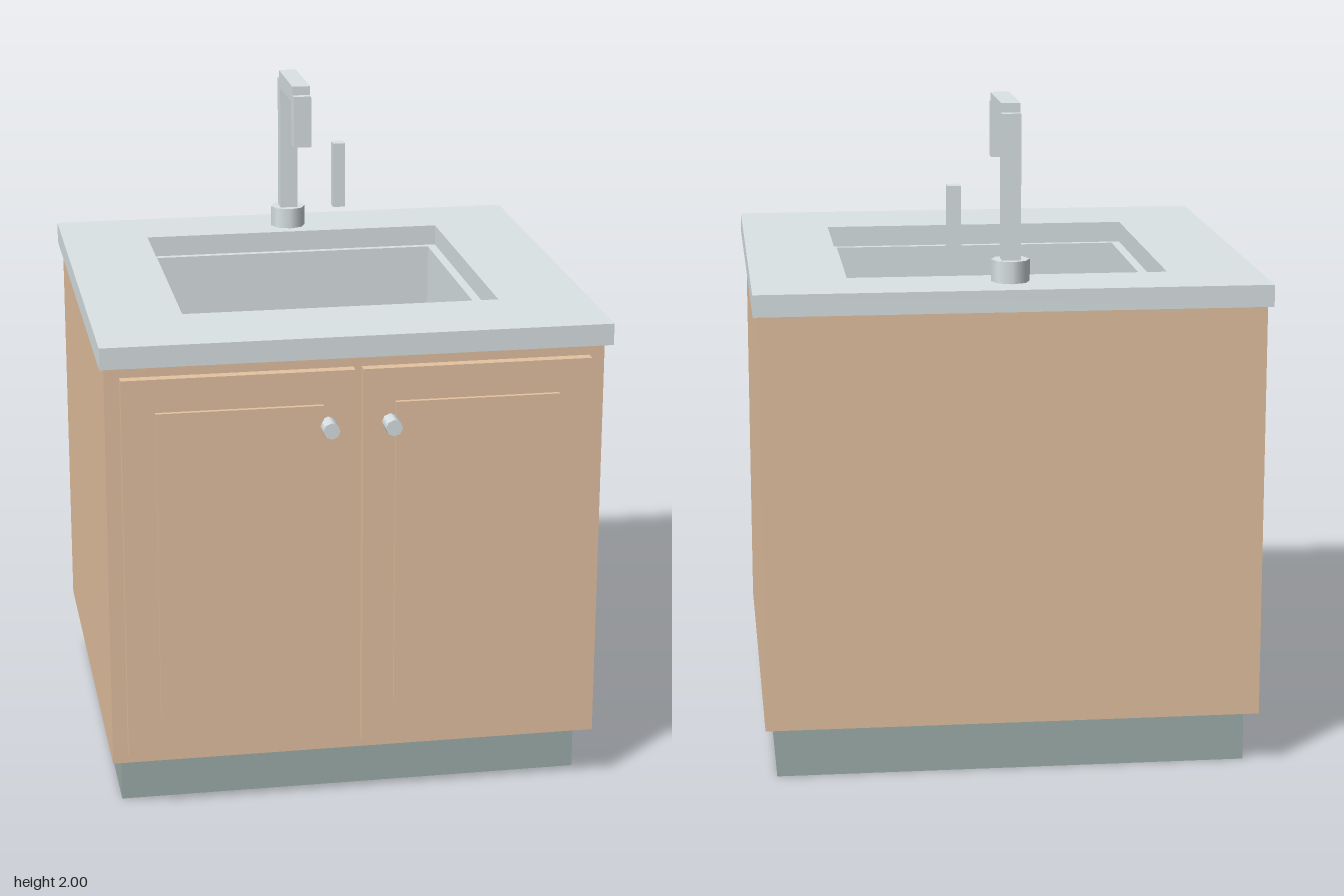
import * as THREE from 'three';

export function createModel() {
  const group = new THREE.Group();
  const mat = (name, color) => {
    const m = new THREE.MeshStandardMaterial({ color });
    m.name = name;
    return m;
  };
  const wood = mat('wood', 0xe5c3a2);
  const stone = mat('pale grey', 0xdbe4e6);
  const slate = mat('grey green', 0x9fafab);

  const add = (name, geometry, material) => {
    const mesh = new THREE.Mesh(geometry, material);
    mesh.name = name;
    group.add(mesh);
    return mesh;
  };
  // Box given by its limits on each axis
  const box = (name, material, [x0, x1], [y0, y1], [z0, z1]) => {
    const mesh = add(name, new THREE.BoxGeometry(x1 - x0, y1 - y0, z1 - z0), material);
    mesh.position.set((x0 + x1) / 2, (y0 + y1) / 2, (z0 + z1) / 2);
  };
  // Eight-sided upright cylinder
  const cylinder = (name, material, radius, height) =>
    add(name, new THREE.CylinderGeometry(radius, radius, height, 8), material);
  // Rectangular frame, open through the middle, extruded upwards
  const rect = (path, w, z0, z1) => {
    path.moveTo(-w, -z1);
    path.lineTo(w, -z1);
    path.lineTo(w, -z0);
    path.lineTo(-w, -z0);
    path.closePath();
    return path;
  };
  const frame = (name, material, outer, inner, y0, y1) => {
    const shape = rect(new THREE.Shape(), ...outer);
    shape.holes.push(rect(new THREE.Path(), ...inner));
    const g = new THREE.ExtrudeGeometry(shape, { depth: y1 - y0, bevelEnabled: false });
    g.rotateX(-Math.PI / 2);
    g.translate(0, y0, 0);
    add(name, g, material);
  };

  // Cabinet: plinth, carcass and countertop with the sink opening
  const opening = [0.48, -0.52, 0.4];
  box('plinth', slate, [-0.706, 0.706], [0, 0.166], [-0.68, 0.568]);
  frame('carcass', wood, [0.74, -0.745, 0.668], opening, 0.166, 1.415);
  frame('countertop', stone, [0.755, -0.764, 0.713], opening, 1.415, 1.48);

  // Sink basin with a narrow rim, floor and drain
  frame('basinWalls', stone, opening, [0.452, -0.498, 0.378], 1.16, 1.415);
  box('basinFloor', slate, [-0.479, 0.479], [1.15, 1.18], [-0.519, 0.399]);
  cylinder('drain', slate, 0.048, 0.02).position.set(0, 1.185, -0.06);

  // Mirrored doors with raised panels and knobs
  for (const s of [-1, 1]) {
    const side = s > 0 ? 'left' : 'right';
    const span = (a, b) => (s > 0 ? [a, b] : [-b, -a]);
    box(side + 'Door', wood, span(0.012, 0.695), [0.2, 1.375], [0.668, 0.7]);
    box(side + 'DoorPanel', wood, span(0.107, 0.597), [0.303, 1.275], [0.7, 0.714]);
    const knob = cylinder(side + 'Knob', stone, 0.025, 0.065);
    knob.rotation.x = Math.PI / 2;
    knob.position.set(s * 0.092, 1.212, 0.7325);
  }

  // Tap: round foot, square post, arm and spout, with a separate lever
  cylinder('tapFoot', stone, 0.057, 0.066).position.set(0, 1.512, -0.617);
  box('tapPost', stone, [-0.028, 0.028], [1.54, 1.972], [-0.644, -0.59]);
  box('tapArm', stone, [-0.028, 0.028], [1.946, 2], [-0.617, -0.336]);
  box('tapSpout', stone, [-0.028, 0.028], [1.808, 1.972], [-0.363, -0.31]);
  box('tapLever', stone, [0.143, 0.183], [1.546, 1.76], [-0.604, -0.563]);

  return group;
}
